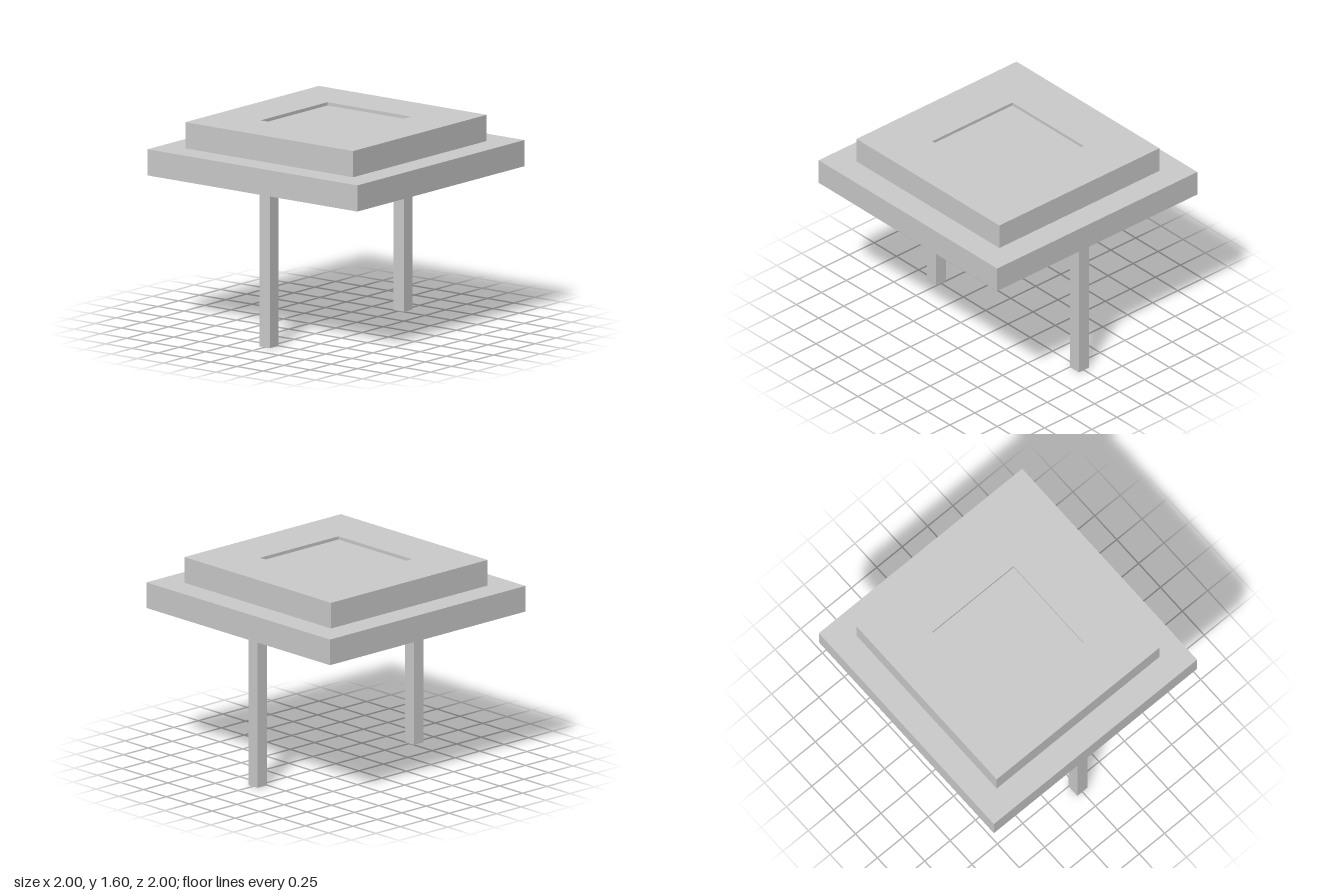
import * as THREE from 'three';

const material = new THREE.MeshStandardMaterial({ color: 0xcccccc, flatShading: true });

function square(target, size) {
  const h = size / 2;
  target.moveTo(-h, -h);
  target.lineTo(h, -h);
  target.lineTo(h, h);
  target.lineTo(-h, h);
  target.closePath();
  return target;
}

// Square slab with a square opening through it, lying flat with its underside at y
function frame(name, size, opening, y, height) {
  const shape = square(new THREE.Shape(), size);
  shape.holes.push(square(new THREE.Path(), opening));
  const geometry = new THREE.ExtrudeGeometry(shape, { depth: height, bevelEnabled: false });
  geometry.rotateX(-Math.PI / 2);
  const mesh = new THREE.Mesh(geometry, material);
  mesh.name = name;
  mesh.position.y = y;
  return mesh;
}

function box(name, width, height, depth, x, y) {
  const mesh = new THREE.Mesh(new THREE.BoxGeometry(width, height, depth), material);
  mesh.name = name;
  mesh.position.set(x, y + height / 2, 0);
  return mesh;
}

export function createModel() {
  const model = new THREE.Group();
  model.name = 'table';

  // Stepped top: wide frame below, narrower frame above
  model.add(frame('lowerFrame', 2, 1.2, 1.2, 0.2));
  model.add(frame('upperFrame', 1.6, 0.8, 1.4, 0.2));

  // Panel set slightly back from both faces of the upper frame
  model.add(box('insetPanel', 0.8, 0.15, 0.8, 0, 1.425));

  // One post under each side
  for (const [name, x] of [['leftLeg', 0.8], ['rightLeg', -0.8]]) {
    model.add(box(name, 0.1, 1.2, 0.1, x, 0));
  }
  return model;
}
